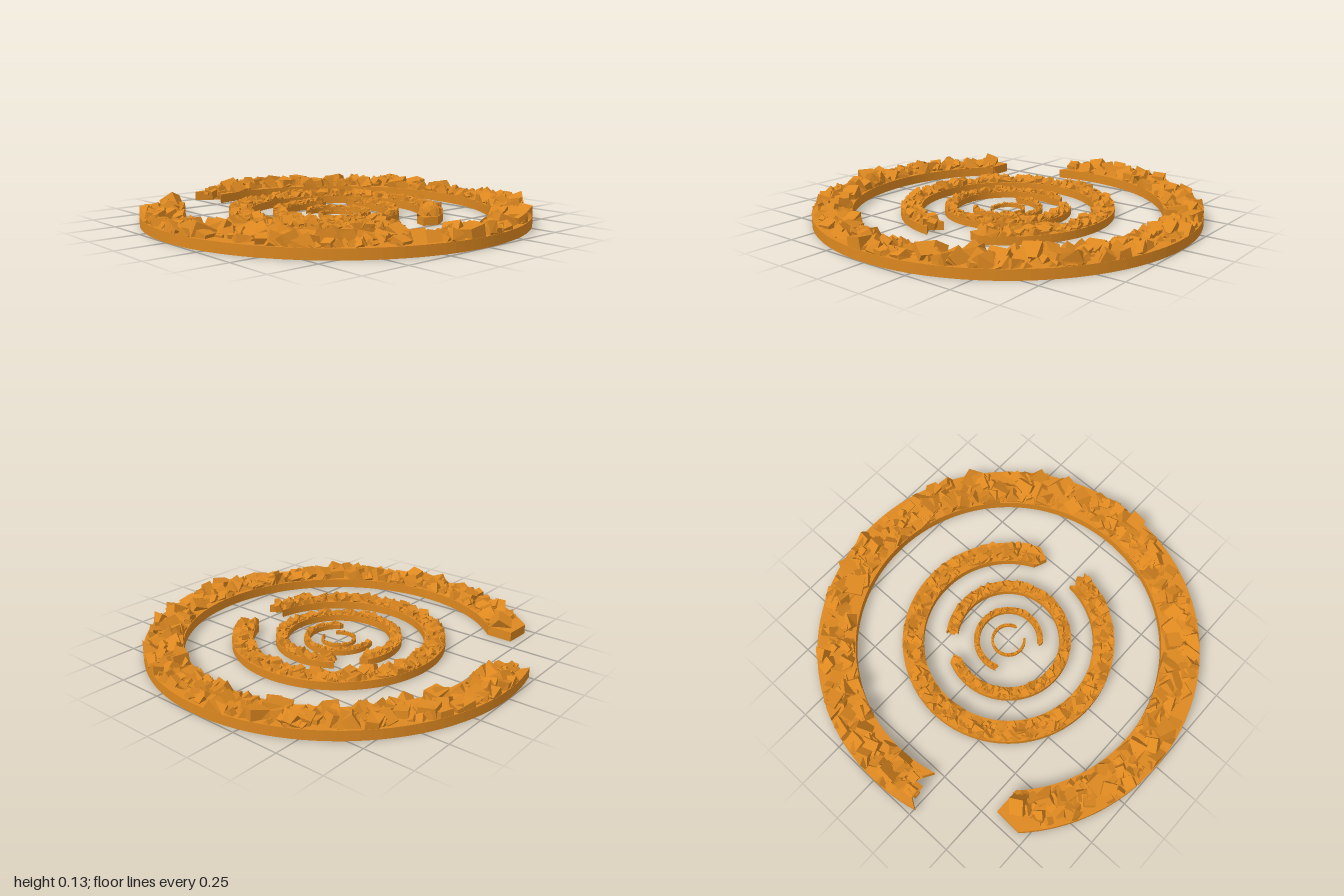
import * as THREE from 'three';
import { mergeGeometries } from 'three/addons/utils/BufferGeometryUtils.js';

// Small seeded random generator, 0..1
function seeded(seed) {
  let s = seed;
  return () => {
    s = (s * 1664525 + 1013904223) % 4294967296;
    return s / 4294967296;
  };
}

// Open rings: radii, height, start/end angle in degrees (measured from +x towards +z),
// rubble block count and rubble size
const RINGS = [
  { name: 'outerRing', inner: 0.8, outer: 1, height: 0.05, start: 165, end: 495, blocks: 460, size: 1 },
  { name: 'secondRing', inner: 0.447, outer: 0.556, height: 0.042, start: 5.5, end: 336, blocks: 380, size: 0.62 },
  { name: 'thirdRing', inner: 0.268, outer: 0.33, height: 0.034, start: 234.5, end: 564.5, blocks: 300, size: 0.45 },
  { name: 'fourthRing', inner: 0.152, outer: 0.182, height: 0.025, start: 160, end: 413, blocks: 130, size: 0.3 },
  { name: 'innerRing', inner: 0.077, outer: 0.091, height: 0.017, start: 40, end: 344, blocks: 60, size: 0.17 },
];
const TIP = 6.2; // degrees by which the pointed end and the notch reach past the arc ends

// Flat curved band with a notched tail and a pointed head
function bandGeometry({ inner, outer, height, start, end }) {
  const steps = 120;
  const mid = (inner + outer) / 2;
  const at = (r, deg) => {
    const a = THREE.MathUtils.degToRad(deg);
    return new THREE.Vector2(r * Math.cos(a), r * Math.sin(a));
  };
  const points = [];
  for (let i = 0; i <= steps; i++) points.push(at(outer, start + ((end - start) * i) / steps));
  points.push(at(mid, end + TIP));
  for (let i = steps; i >= 0; i--) points.push(at(inner, start + ((end - start) * i) / steps));
  points.push(at(mid, start + TIP));
  const geometry = new THREE.ExtrudeGeometry(new THREE.Shape(points), { depth: height, bevelEnabled: false });
  geometry.rotateX(Math.PI / 2);
  geometry.translate(0, height, 0);
  return geometry;
}

// Tumbled blocks half sunk into the band, kept inside its walls
function rubbleGeometry({ inner, outer, height, start, end, blocks, size }, random) {
  const parts = [];
  for (let i = 0; i < blocks; i++) {
    const s = size * (0.035 + 0.055 * random() ** 2.2);
    const block = new THREE.BoxGeometry(s * (0.8 + 0.4 * random()), s, s * (0.8 + 0.4 * random()));
    block.rotateX(random() * Math.PI * 2);
    block.rotateY(random() * Math.PI * 2);
    block.rotateZ(random() * Math.PI * 2);
    const angle = THREE.MathUtils.degToRad(start + 2 + (end - start - 2) * ((i + random()) / blocks));
    const radius = inner + (outer - inner) * (0.08 + 0.84 * random());
    block.translate(
      radius * Math.cos(angle),
      height + size * (random() - 0.6) * 0.02,
      radius * Math.sin(angle)
    );
    const p = block.attributes.position;
    for (let k = 0; k < p.count; k++) {
      const r = Math.hypot(p.getX(k), p.getZ(k));
      const f = THREE.MathUtils.clamp(r, inner + 0.001, outer - 0.001) / r;
      p.setXYZ(k, p.getX(k) * f, Math.max(p.getY(k), 0.002), p.getZ(k) * f);
    }
    parts.push(block);
  }
  const merged = mergeGeometries(parts);
  merged.computeVertexNormals();
  return merged;
}

export function createModel() {
  const model = new THREE.Group();
  model.name = 'brokenRings';
  const material = new THREE.MeshStandardMaterial({ color: 0xdd8820, flatShading: true });
  const random = seeded(71);

  for (const ring of RINGS) {
    const group = new THREE.Group();
    group.name = ring.name;
    const band = new THREE.Mesh(bandGeometry(ring), material);
    band.name = 'band';
    const rubble = new THREE.Mesh(rubbleGeometry(ring, random), material);
    rubble.name = 'rubble';
    group.add(band, rubble);
    model.add(group);
  }
  return model;
}
